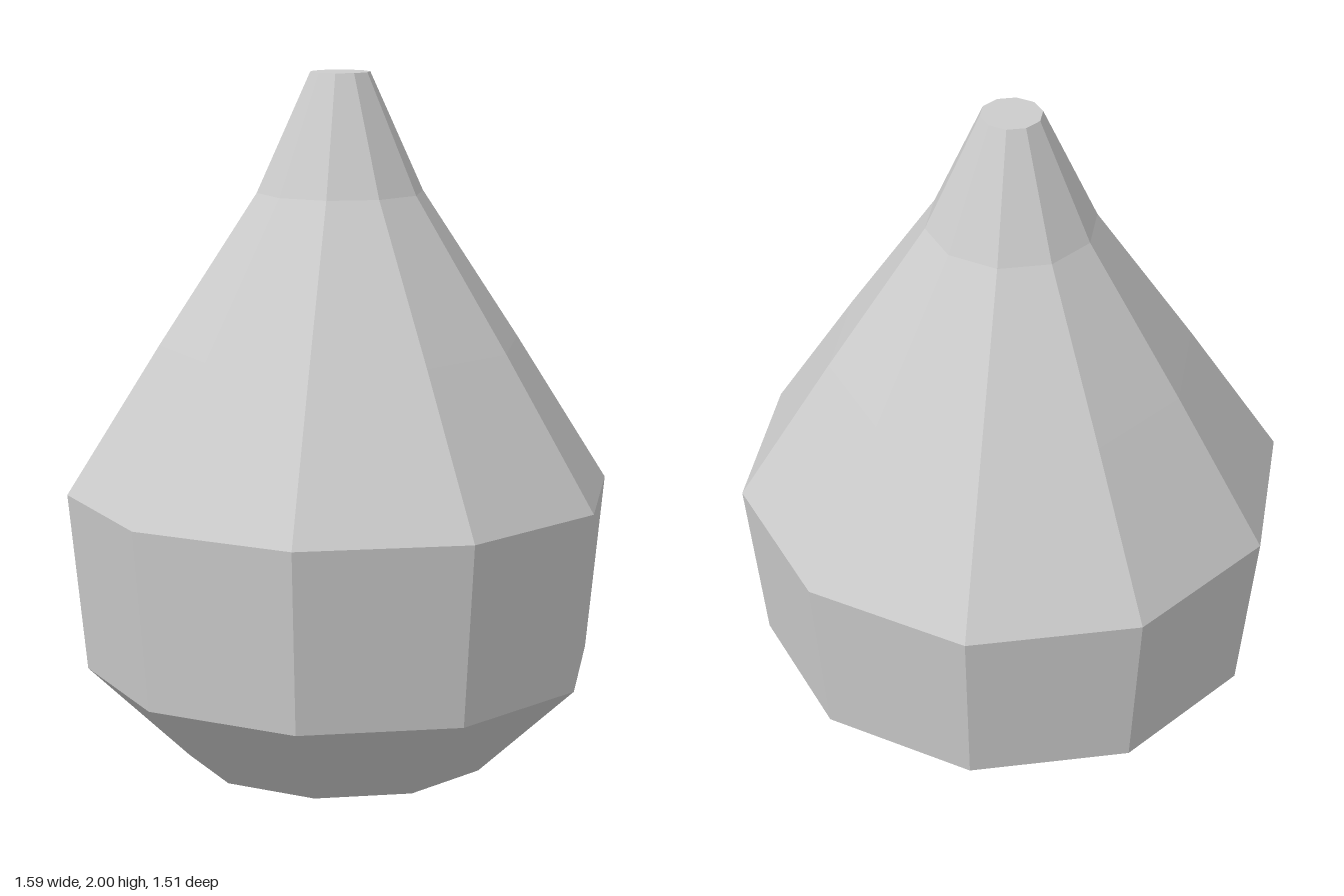
import * as THREE from 'three';

export function createModel() {
  const model = new THREE.Group();
  model.name = 'taperedDrop';

  const grey = new THREE.MeshStandardMaterial({ color: 0xcccccc, flatShading: true });
  grey.name = 'light grey';

  // Half profile [radius, height] from the centre of the base to the centre of the tip
  const profile = [
    [0, 0], [0.45, 0], [0.743, 0.28], [0.793, 0.8],
    [0.522, 1.23], [0.24, 1.66], [0.086, 2], [0, 2],
  ].map(([r, y]) => new THREE.Vector2(r, y));

  // Ten-sided body with corners on the x axis and flat faces to front and back
  const geometry = new THREE.LatheGeometry(profile, 10).rotateY(Math.PI / 2).toNonIndexed();
  geometry.computeVertexNormals();
  const body = new THREE.Mesh(geometry, grey);
  body.name = 'body';
  model.add(body);

  return model;
}
